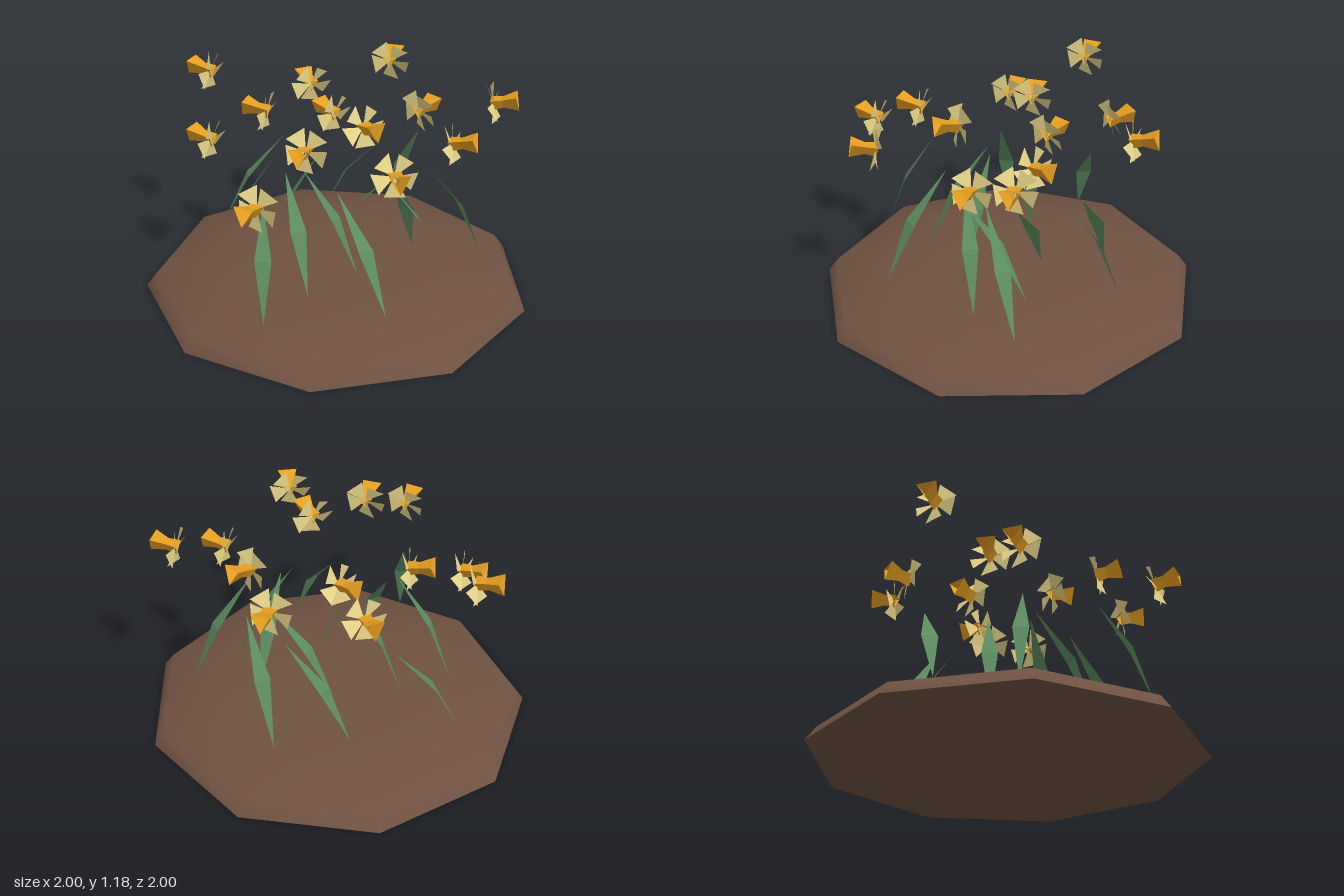
import * as THREE from 'three';

const soil = new THREE.MeshStandardMaterial({ color: 0x6f5141 });
const leafGreen = new THREE.MeshStandardMaterial({ color: 0x5c8c60, flatShading: true, side: THREE.DoubleSide });
const petalCream = new THREE.MeshStandardMaterial({ color: 0xe6d488, flatShading: true, side: THREE.DoubleSide });
const trumpetOrange = new THREE.MeshStandardMaterial({ color: 0xe8a020, flatShading: true, side: THREE.DoubleSide });
soil.name = 'soil brown';
leafGreen.name = 'leaf green';
petalCream.name = 'petal cream';
trumpetOrange.name = 'trumpet orange';

// Plants: flower centre [x, y, z], facing [x, z], leaf base [x, z], leaf tip [x, y, z]
const plants = [
  [[-0.79, 1.07, -0.18], [-1, -0.1], [-0.75, -0.18], [-0.44, 0.67, -0.33]],
  [[-0.32, 0.94, -0.46], [-0.65, -0.75], [-0.26, -0.47], [0.09, 0.67, -0.435]],
  [[0.07, 1.04, -0.67], [0, -1], [0.09, -0.64], [0.31, 0.78, -0.4]],
  [[0.34, 0.95, -0.25], [0.5, -0.85], [0.33, -0.22], [0.325, 0.7, 0.13]],
  [[0.72, 1.03, -0.29], [1, -0.1], [0.69, -0.28], [0.43, 0.75, -0.04]],
  [[0.57, 0.9, -0.02], [1, 0.05], [0.54, -0.01], [0.26, 0.735, 0.13]],
  [[0.17, 1.03, 0.2], [0.75, 0.65], [0.14, 0.18], [-0.16, 0.72, 0.15]],
  [[0.42, 0.96, 0.54], [0.45, 0.85], [0.39, 0.53], [0.07, 0.71, 0.31]],
  [[-0.03, 1.0, 0.485], [0, 1], [-0.04, 0.46], [-0.245, 0.72, 0.19]],
  [[-0.165, 0.83, 0.8], [-0.2, 1], [-0.165, 0.77], [-0.245, 0.71, 0.515]],
  [[-0.635, 0.86, 0.21], [-1, -0.15], [-0.61, 0.195], [-0.31, 0.79, 0.145]],
  [[-0.41, 0.96, 0], [-1, 0.03], [-0.39, 0], [-0.13, 0.75, -0.08]],
  [[-0.1, 0.91, -0.18], [-0.88, -0.45], [-0.07, -0.17], [0.28, 0.66, -0.15]],
];

function mesh(name, geometry, material) {
  const m = new THREE.Mesh(geometry, material);
  m.name = name;
  return m;
}

function triangles(points) {
  const g = new THREE.BufferGeometry().setFromPoints(points);
  g.computeVertexNormals();
  return g;
}

// Nine-sided soil mound with a flat underside
function makeMound() {
  const profile = [[0.999, 0], [0.945, 0.075], [0.66, 0.14], [0.33, 0.16], [0, 0.165]]
    .map(([r, y]) => new THREE.Vector2(r, y));
  const top = new THREE.LatheGeometry(profile, 9, Math.PI / 2);
  const base = new THREE.CircleGeometry(0.999, 9).rotateX(Math.PI / 2);
  const g = new THREE.Group();
  g.name = 'mound';
  g.add(mesh('moundTop', top, soil), mesh('moundUnderside', base, soil));
  g.scale.set(1.031, 1, 1.016);
  g.position.x = -0.03;
  return g;
}

// Kite-shaped blade, bent over at its widest point
function makeLeaf([bx, bz], [tx, ty, tz]) {
  const base = new THREE.Vector3(bx, 0.17, bz);
  const tip = new THREE.Vector3(tx, ty, tz);
  const middle = base.clone().lerp(tip, 0.4);
  middle.y = 0.17 + (ty - 0.17) * 0.55;
  const side = new THREE.Vector3(tz - bz, 0, bx - tx).setLength(0.042);
  const a = middle.clone().add(side), b = middle.clone().sub(side);
  return mesh('leaf', triangles([base, a, b, a, tip, b]), leafGreen);
}

// Star of slightly twisted petals, wide at the outer edge
const petalPoints = [];
for (let i = 0; i < 5; i++) {
  const angle = (i / 5) * Math.PI * 2 - Math.PI / 2;
  const corner = (offset, z) => new THREE.Vector3(
    Math.cos(angle + offset) * 0.112, Math.sin(angle + offset) * 0.112, z);
  petalPoints.push(new THREE.Vector3(), corner(-0.45, -0.018), corner(0.45, 0.018));
}
const petalGeometry = triangles(petalPoints);

// Three-sided flared trumpet pointing along +z
const trumpetGeometry = new THREE.LatheGeometry(
  [[0.042, -0.01], [0.034, 0.05], [0.06, 0.125]].map(([r, y]) => new THREE.Vector2(r, y)), 3)
  .rotateX(Math.PI / 2);

function makeFlower([x, y, z], [dx, dz]) {
  const g = new THREE.Group();
  g.name = 'flower';
  g.add(mesh('petals', petalGeometry, petalCream), mesh('trumpet', trumpetGeometry, trumpetOrange));
  g.position.set(x, y, z);
  // Face outwards, tilted a little upwards
  g.rotation.set(-0.2, Math.atan2(dx, dz), 0, 'YXZ');
  return g;
}

export function createModel() {
  const model = new THREE.Group();
  model.name = 'flowerPatch';
  model.add(makeMound());
  for (const [centre, facing, base, tip] of plants) {
    model.add(makeLeaf(base, tip), makeFlower(centre, facing));
  }
  return model;
}
